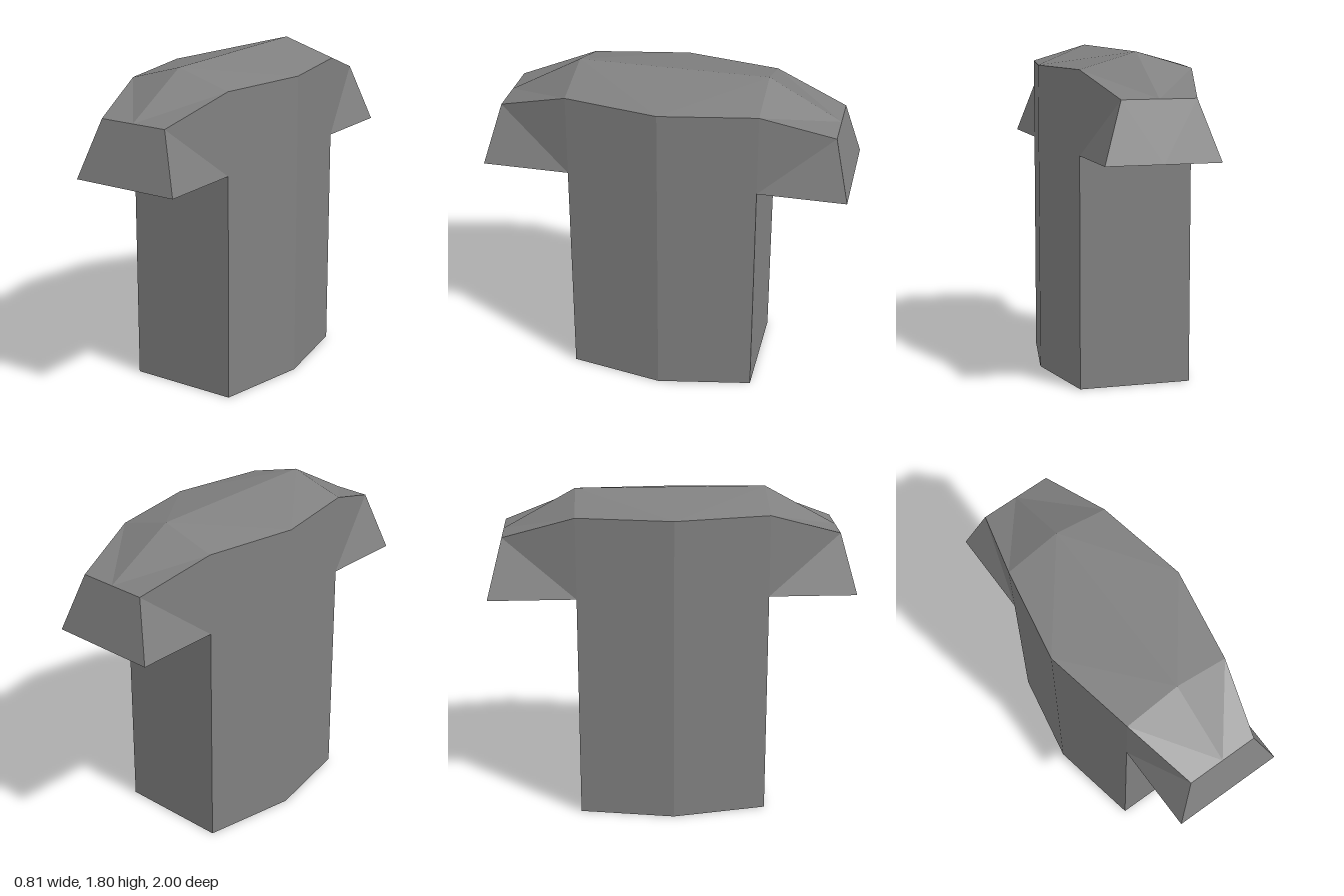
import * as THREE from 'three';

const grey = new THREE.MeshStandardMaterial({ color: 0x808080 });
grey.name = 'stone grey';

// Corner points of one quarter (+x, +z)
const side = 0.405, half = 0.308, depth = 0.52;       // hexagonal plan
const eave = 1.71, ridge = 1.8;                       // roof heights
const lip = 1.26, brow = 1.58, browX = 0.2, browZ = 0.915; // overhang

// Mirrors quarter quads (each split from its first corner) into the chosen quadrants
function mirroredMesh(name, quads, zSigns) {
  const pos = [];
  for (const sz of zSigns) for (const sx of [1, -1]) for (const quad of quads) {
    const q = quad.map(([x, y, z]) => [x * sx, y, z * sz]);
    const order = sx * sz > 0 ? [0, 1, 2, 0, 2, 3] : [0, 2, 1, 0, 3, 2];
    for (const i of order) pos.push(...q[i]);
  }
  const geo = new THREE.BufferGeometry();
  geo.setAttribute('position', new THREE.Float32BufferAttribute(pos, 3));
  geo.computeVertexNormals(); // unshared corners give flat facets
  const mesh = new THREE.Mesh(geo, grey);
  mesh.name = name;
  return mesh;
}

export function createModel() {
  const group = new THREE.Group();
  group.name = 'hoodedPillar';

  // Hexagonal pillar: slanted side, end wall, base
  group.add(mirroredMesh('pillar', [
    [[half, 0, depth], [side, 0, 0], [side, eave, 0], [half, eave, depth]],
    [[0, 0, depth], [half, 0, depth], [half, lip, depth], [0, lip, depth]],
    [[0, 0, 0], [side, 0, 0], [half, 0, depth], [0, 0, depth]],
  ], [1, -1]));

  // Shallow gabled roof
  group.add(mirroredMesh('roof', [
    [[0, ridge, depth], [half, eave, depth], [side, eave, 0], [0, ridge, 0]],
  ], [1, -1]));

  // Overhanging hood at each end: slope, face, cheek, underside
  const hood = [
    [[half, eave, depth], [0, ridge, depth], [0, brow, browZ], [browX, brow, browZ]],
    [[0, lip, 1], [half, lip, 1], [browX, brow, browZ], [0, brow, browZ]],
    [[half, lip, depth], [half, eave, depth], [browX, brow, browZ], [half, lip, 1]],
    [[0, lip, depth], [half, lip, depth], [half, lip, 1], [0, lip, 1]],
  ];
  group.add(mirroredMesh('frontHood', hood, [1]));
  group.add(mirroredMesh('backHood', hood, [-1]));
  return group;
}
